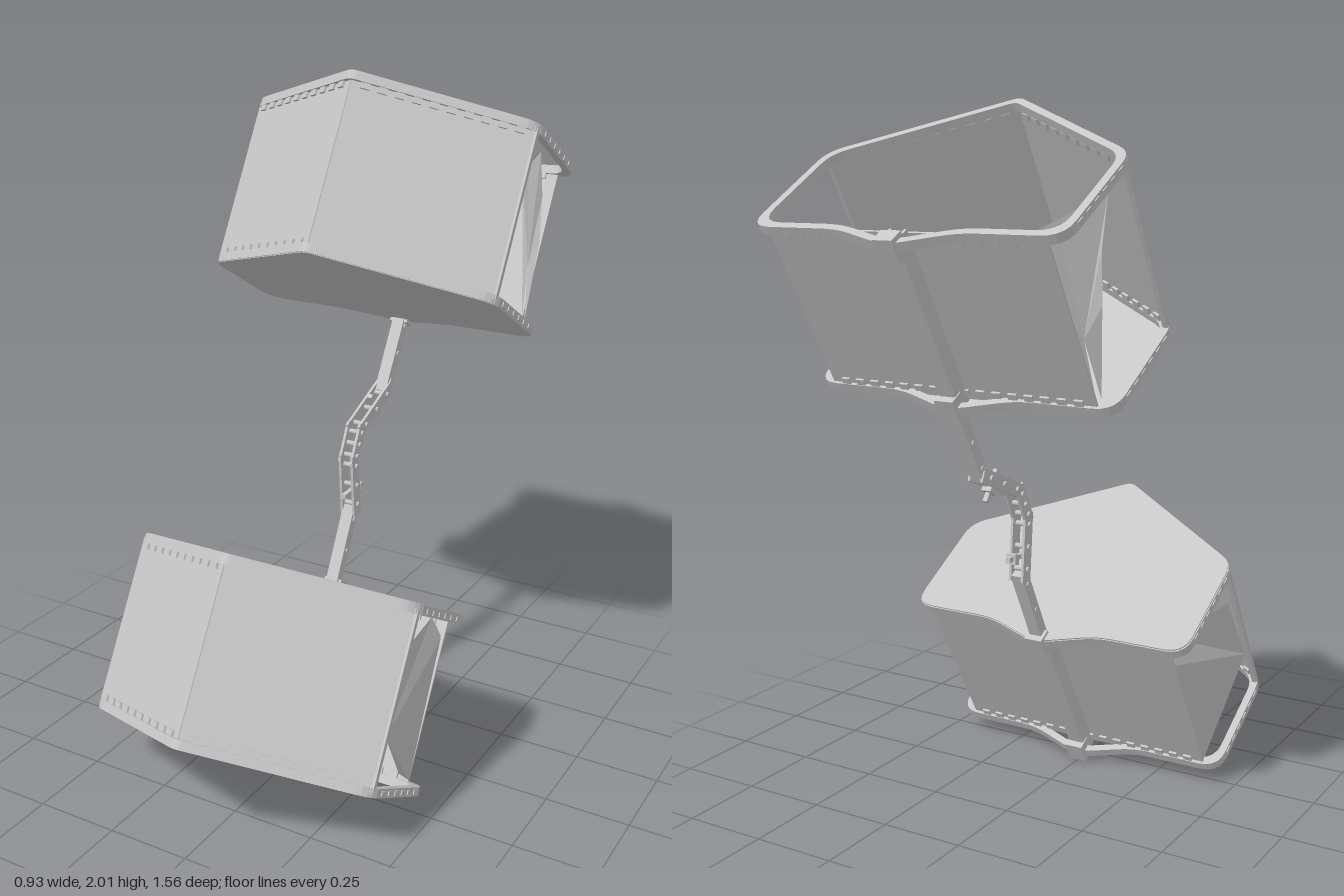
import * as THREE from 'three';

const steel = new THREE.MeshStandardMaterial({ color: 0xc6c6c6, side: THREE.DoubleSide });
steel.name = 'light steel';

const HEIGHT = 0.525;

function add(parent, geometry, name, x = 0, y = 0, z = 0) {
  const mesh = new THREE.Mesh(geometry, steel);
  mesh.name = name;
  mesh.position.set(x, y, z);
  parent.add(mesh);
  return mesh;
}

// Bucket plan seen from above: [x, depth, corner radius], shrunk by t
function planPath(t, target) {
  const half = [[0.03, t, 0.02], [0.18, 0.05 + t, 0.05], [0.462 - t, 0.05 + t, 0.065], [0.462 - t, 0.42 - 0.55 * t, 0.05]];
  const pts = [...half, [0, 0.705 - 1.18 * t, 0.02], ...half.map(([x, z, r]) => [-x, z, r]).reverse()];
  const n = pts.length;
  const toward = (a, b, r) => {
    const d = Math.hypot(b[0] - a[0], b[1] - a[1]);
    return [a[0] + (b[0] - a[0]) * r / d, a[1] + (b[1] - a[1]) * r / d];
  };
  pts.forEach((p, i) => {
    const start = toward(p, pts[(i + n - 1) % n], p[2]);
    const end = toward(p, pts[(i + 1) % n], p[2]);
    if (i === 0) target.moveTo(...start); else target.lineTo(...start);
    target.quadraticCurveTo(p[0], p[1], ...end);
  });
  target.closePath();
  return target;
}

// Horizontal slab following the plan, optionally hollow
function slab(y, depth, inset, hollow) {
  const shape = planPath(inset, new THREE.Shape());
  if (hollow) shape.holes.push(planPath(inset + hollow, new THREE.Path()));
  const g = new THREE.ExtrudeGeometry(shape, { depth, bevelEnabled: false, curveSegments: 5 });
  return g.rotateX(Math.PI / 2).translate(0, y + depth, 0);
}

// Fan of triangles for a bent plate
function fan(points) {
  const pos = [];
  for (let i = 1; i < points.length - 1; i++) pos.push(...points[0], ...points[i], ...points[i + 1]);
  const g = new THREE.BufferGeometry();
  g.setAttribute('position', new THREE.Float32BufferAttribute(pos, 3));
  g.computeVertexNormals();
  return g;
}

// Upright plate between two plan points, with tabs along both rims
function wall(parent, name, a, b, tabs) {
  const g = new THREE.Group();
  g.name = name;
  const len = Math.hypot(b[0] - a[0], b[1] - a[1]);
  g.position.set((a[0] + b[0]) / 2, 0, (a[1] + b[1]) / 2);
  g.rotation.y = -Math.atan2(b[1] - a[1], b[0] - a[0]);
  add(g, new THREE.BoxGeometry(len, HEIGHT - 0.02, 0.006), 'panel', 0, HEIGHT / 2, 0);
  for (let i = 0; i < tabs; i++) {
    const x = ((i + 0.5) / tabs - 0.5) * len * 0.94;
    for (const y of [0.034, HEIGHT - 0.034])
      add(g, new THREE.BoxGeometry(0.026, 0.018, 0.02), 'rimTab', x, y, 0);
  }
  parent.add(g);
}

function bucket(name, plateY, flapPoints) {
  const g = new THREE.Group();
  g.name = name;
  // Rims and the single closing plate
  add(g, slab(0, 0.026, 0, 0.022), 'lowerRim');
  add(g, slab(HEIGHT - 0.026, 0.026, 0, 0.022), 'upperRim');
  add(g, slab(plateY, 0.008, 0.003), 'closingPlate');
  // V-shaped front and flat back
  wall(g, 'backWall', [-0.41, 0.062], [0.41, 0.062], 16);
  for (const s of [-1, 1]) {
    wall(g, 'frontWall', [0, 0.688], [s * 0.45, 0.414], 10);
    add(g, new THREE.BoxGeometry(0.014, HEIGHT - 0.03, 0.016), 'frontPost', s * 0.449, HEIGHT / 2, 0.402);
    add(g, fan(flapPoints.map(([x, y, z]) => [s * x, y, z])), 'bentSidePlate');
    // Fasteners along the side rims
    for (let i = 0; i < 6; i++)
      for (const y of [0.013, HEIGHT - 0.013])
        add(g, new THREE.BoxGeometry(0.01, 0.014, 0.024), 'sideFastener', s * 0.46, y, 0.13 + i * 0.045);
  }
  // Spine channel and its clamps
  add(g, new THREE.BoxGeometry(0.046, HEIGHT, 0.012), 'spineBack', 0, HEIGHT / 2, 0.016);
  for (const s of [-1, 1])
    add(g, new THREE.BoxGeometry(0.008, HEIGHT, 0.048), 'spineFlange', s * 0.022, HEIGHT / 2, 0.036);
  for (const y of [0.02, HEIGHT - 0.02])
    add(g, new THREE.BoxGeometry(0.058, 0.065, 0.045), 'spineClamp', 0, y, 0.012);
  g.rotation.x = -Math.PI / 6;
  return g;
}

// Box laid along a segment in the side plane; points are [z, y]
function bar(parent, name, a, b, x, width, thick, extra = 0) {
  const dz = b[0] - a[0], dy = b[1] - a[1];
  const mesh = add(parent, new THREE.BoxGeometry(width, Math.hypot(dz, dy) + extra, thick), name,
    x, (a[1] + b[1]) / 2, (a[0] + b[0]) / 2);
  mesh.rotation.x = Math.atan2(dz, dy);
}

function pin(parent, z, y, length, radius) {
  add(parent, new THREE.CylinderGeometry(radius, radius, length, 8), 'linkPin', 0, y, z).rotation.z = Math.PI / 2;
}

function linkage() {
  const g = new THREE.Group();
  g.name = 'linkage';
  const path = [[-0.055, 0.45], [-0.172, 0.68], [-0.158, 0.85], [-0.2, 0.935], [-0.375, 1.01], [-0.49, 1.21]];
  for (let i = 0; i < path.length - 1; i++) {
    const a = path[i], b = path[i + 1];
    const solid = i === 0 || i === path.length - 2;
    if (solid) bar(g, 'endArm', a, b, 0, 0.038, 0.034, 0.02);
    else for (const s of [-1, 1]) bar(g, 'linkPlate', a, b, s * 0.02, 0.008, 0.04, 0.03);
    // Pins near both ends of every link
    for (const t of [0.12, 0.5, 0.88])
      pin(g, a[0] + (b[0] - a[0]) * t, a[1] + (b[1] - a[1]) * t, solid ? 0.046 : 0.062, 0.008);
  }
  // Cross bolts
  bar(g, 'crossBolt', [-0.125, 0.735], [-0.235, 0.74], 0, 0.014, 0.014);
  bar(g, 'boltHead', [-0.205, 0.738], [-0.217, 0.738], 0, 0.03, 0.03);
  bar(g, 'crossBolt', [-0.29, 1.01], [-0.345, 0.93], 0, 0.014, 0.014);
  bar(g, 'boltHead', [-0.323, 0.962], [-0.33, 0.952], 0, 0.03, 0.035);
  return g;
}

export function createModel() {
  const model = new THREE.Group();
  model.name = 'linkedBuckets';
  // Lower bucket is closed on top, upper bucket is closed below
  const lower = bucket('lowerBucket', HEIGHT - 0.004, [
    [0.445, 0.16, 0.39], [0.43, 0.38, 0.39], [0.38, 0.5, 0.12], [0.4, 0.45, 0.06],
    [0.41, 0.03, 0.06], [0.41, 0.05, 0.15],
  ]);
  lower.position.set(0, 0.006, 0.174);
  const upper = bucket('upperBucket', -0.002, [
    [0.4, 0.2, 0.1], [0.41, 0.03, 0.06], [0.3, 0.49, 0.066], [0.36, 0.48, 0.18],
    [0.44, 0.48, 0.31], [0.44, 0.38, 0.22], [0.44, 0.26, 0.155], [0.42, 0.04, 0.07],
  ]);
  upper.position.set(0, 1.195, -0.506);
  model.add(lower, upper, linkage());
  return model;
}
